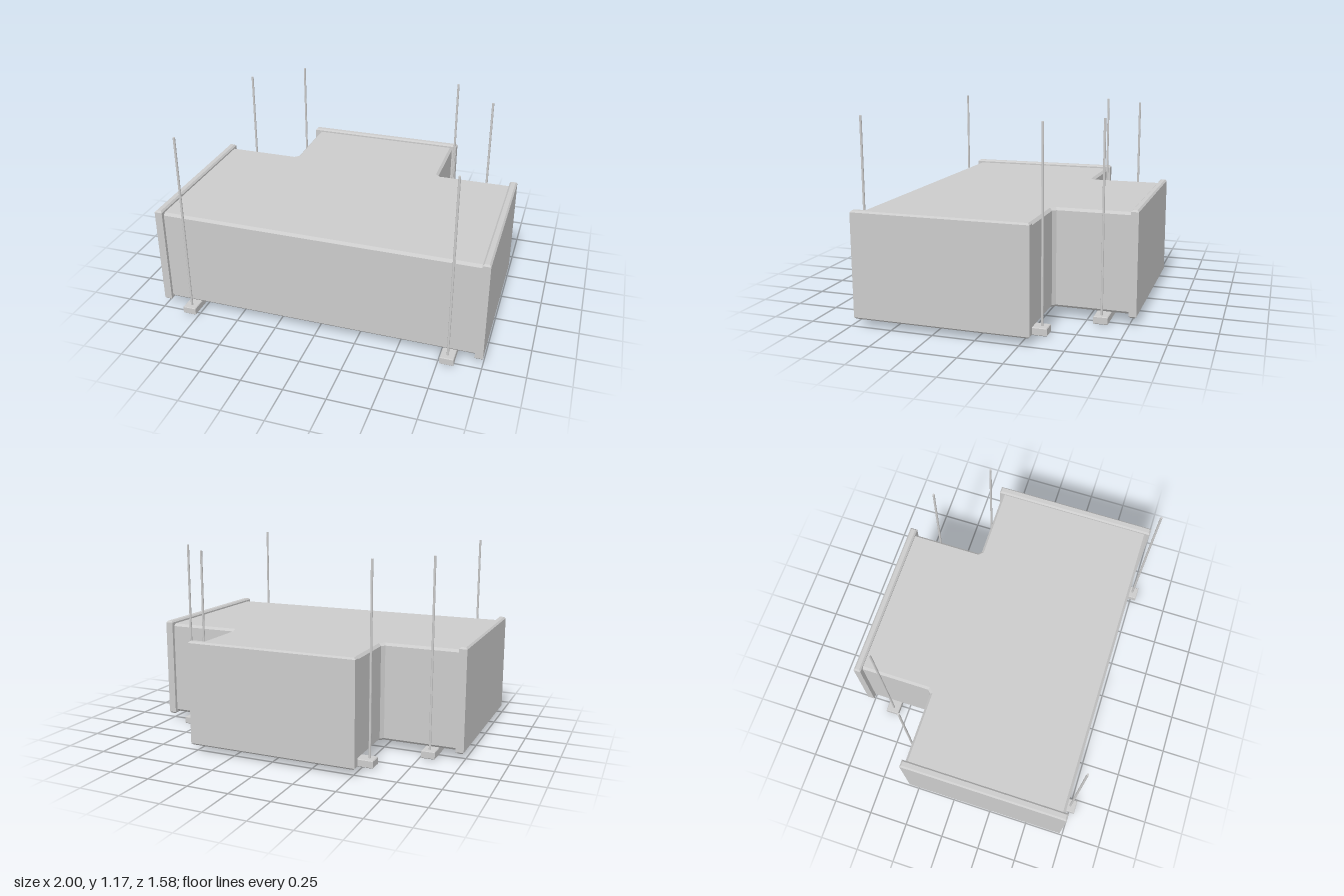
import * as THREE from 'three';

const material = new THREE.MeshStandardMaterial({ color: 0xcccccc, flatShading: true });

// Extrude a plan outline (x, -z) upwards from y0 to y1 with chamfered edges
function chamferedPrism(points, y0, y1, chamfer) {
  const shape = new THREE.Shape(points.map(([x, y]) => new THREE.Vector2(x, y)));
  const geometry = new THREE.ExtrudeGeometry(shape, {
    depth: y1 - y0 - 2 * chamfer,
    bevelEnabled: true,
    bevelSegments: 1,
    bevelSize: chamfer,
    bevelThickness: chamfer,
    bevelOffset: -chamfer,
  });
  geometry.rotateX(-Math.PI / 2);
  geometry.translate(0, y0 + chamfer, 0);
  return geometry;
}

function chamferedBox(x0, x1, y0, y1, z0, z1, chamfer) {
  return chamferedPrism([[x0, -z1], [x1, -z1], [x1, -z0], [x0, -z0]], y0, y1, chamfer);
}

export function createModel() {
  const model = new THREE.Group();
  model.name = 'ductTee';
  const add = (name, geometry) => {
    const mesh = new THREE.Mesh(geometry, material);
    mesh.name = name;
    model.add(mesh);
    return mesh;
  };

  // T-shaped duct body, with small chamfers in the two inner corners
  const right = [[0.97, -0.71], [0.97, 0.29], [0.51, 0.29], [0.49, 0.31], [0.49, 0.76]];
  const left = right.map(([x, y]) => [-x, y]).reverse();
  add('ductBody', chamferedPrism([...right, ...left], 0.055, 0.65, 0.015));

  // Flanges closing the three openings
  add('branchFlange', chamferedBox(-0.52, 0.52, 0.043, 0.67, -0.79, -0.745, 0.01));
  add('leftFlange', chamferedBox(0.953, 1, 0.043, 0.67, -0.31, 0.73, 0.01));
  add('rightFlange', chamferedBox(-1, -0.953, 0.043, 0.67, -0.31, 0.73, 0.01));

  // Support rails under the duct
  add('leftRail', chamferedBox(0.763, 0.845, 0.006, 0.052, -0.36, 0.785, 0.004));
  add('rightRail', chamferedBox(-0.845, -0.763, 0.006, 0.052, -0.36, 0.785, 0.004));
  add('branchRail', chamferedBox(-0.57, 0.57, 0.006, 0.052, -0.637, -0.553, 0.004));

  // Hanger rods passing through the rail ends
  const rodHeight = 1.175;
  const rodGeometry = new THREE.CylinderGeometry(0.007, 0.007, rodHeight, 12);
  for (const side of [-1, 1]) {
    for (const [x, z] of [[0.804, 0.748], [0.804, -0.322], [0.535, -0.594]]) {
      add('hangerRod', rodGeometry).position.set(side * x, rodHeight / 2, z);
    }
  }
  return model;
}
